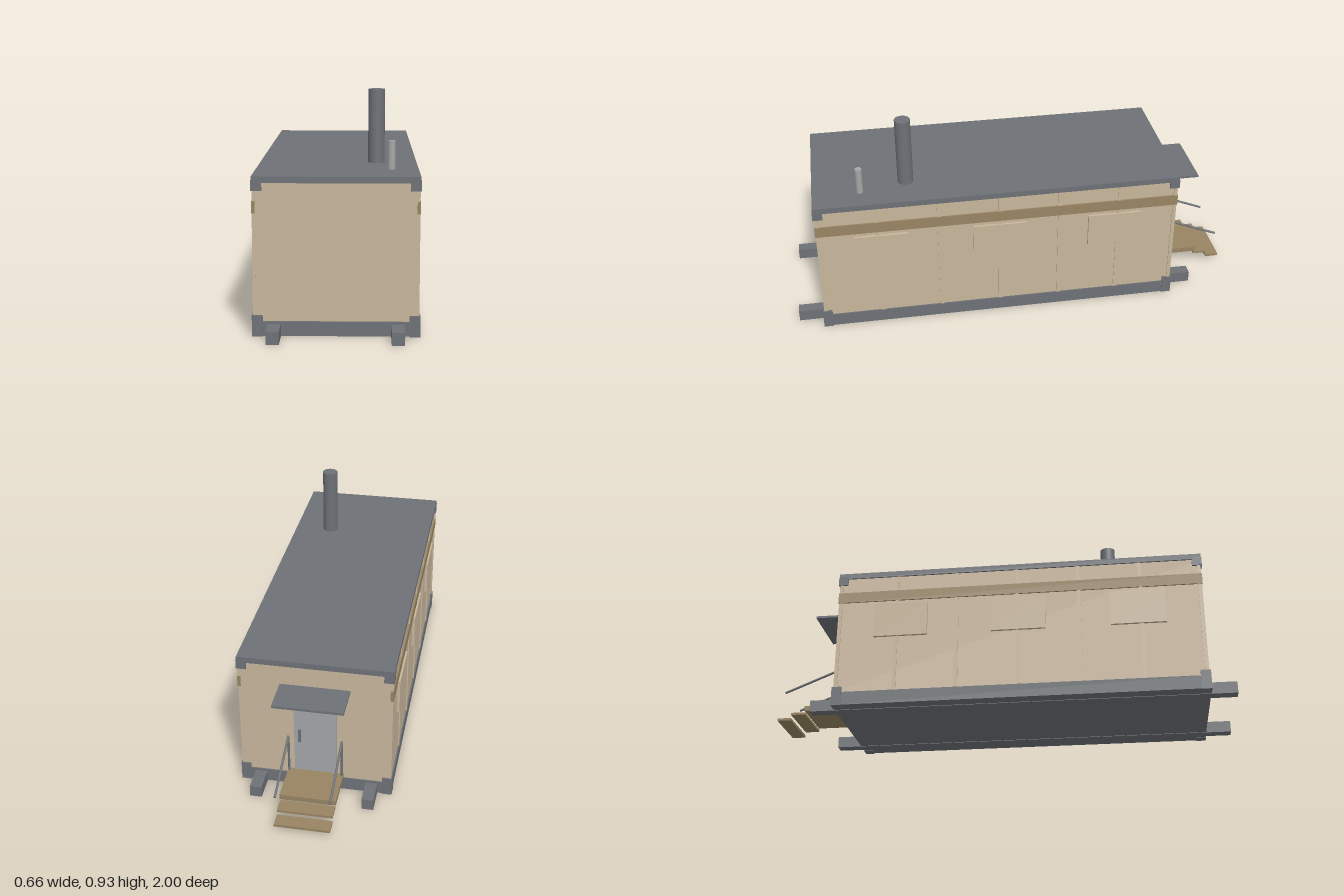
import * as THREE from 'three';

const mat = (name, color) => Object.assign(new THREE.MeshStandardMaterial({ color }), { name });

export function createModel() {
  const root = new THREE.Group();
  root.name = 'siteCabin';
  const wall = mat('beige panel', 0xc8b69c);
  const brown = mat('brown trim', 0x988462);
  const steel = mat('steel grey', 0x6d7176);
  const door = mat('door grey', 0xa3a5a8);
  const pipe = mat('light pipe grey', 0xa6a6a6);

  const add = (name, geo, m, x, y, z) => {
    const mesh = new THREE.Mesh(geo, m);
    mesh.name = name;
    mesh.position.set(x, y, z);
    root.add(mesh);
    return mesh;
  };
  // box given by its min and max on each axis
  const box = (name, m, x0, x1, y0, y1, z0, z1) =>
    add(name, new THREE.BoxGeometry(x1 - x0, y1 - y0, z1 - z0), m,
      (x0 + x1) / 2, (y0 + y1) / 2, (z0 + z1) / 2);
  // thin round bar between two points
  const bar = (name, m, a, b, r) => {
    const d = b.clone().sub(a);
    const mid = a.clone().add(b).multiplyScalar(0.5);
    const mesh = add(name, new THREE.CylinderGeometry(r, r, d.length(), 12), m, mid.x, mid.y, mid.z);
    mesh.quaternion.setFromUnitVectors(new THREE.Vector3(0, 1, 0), d.normalize());
  };

  const zB = -0.7, zF = 0.89;

  // Cabin shell
  box('baseFrame', steel, -0.322, 0.322, 0.002, 0.06, zB, zF);
  box('cabinWalls', wall, -0.316, 0.316, 0.06, 0.6, zB + 0.005, zF - 0.005);
  box('roof', steel, -0.323, 0.323, 0.6, 0.625, zB, zF);

  // Corner castings
  for (const s of [-1, 1]) {
    const x0 = s > 0 ? 0.283 : -0.325, x1 = x0 + 0.042;
    for (const z0 of [zB - 0.002, zF - 0.04]) {
      box('lowerCorner', steel, x0, x1, 0, 0.083, z0, z0 + 0.042);
      box('upperCorner', steel, x0, x1, 0.57, 0.61, z0, z0 + 0.042);
    }
  }

  // Skids under the base
  for (const x of [-0.238, 0.238]) box('skid', steel, x - 0.025, x + 0.025, 0, 0.05, -0.81, 1);

  // Long sides: ribs, trim band and shuttered windows
  for (const s of [-1, 1]) {
    const side = (name, m, d, y0, y1, z0, z1) =>
      box(name, m, Math.min(s * 0.31, s * d), Math.max(s * 0.31, s * d), y0, y1, z0, z1);
    for (let k = 0; k <= 6; k++) {
      const z = THREE.MathUtils.clamp(zB + k * 0.265, zB + 0.012, zF - 0.012);
      side('wallRib', wall, 0.321, 0.06, 0.6, z - 0.008, z + 0.008);
    }
    side('trimBand', brown, 0.3225, 0.482, 0.53, zB + 0.001, zF - 0.001);
    for (const z of [-0.415, 0.098, 0.61]) side('windowShutter', wall, 0.328, 0.31, 0.465, z - 0.117, z + 0.117);
  }

  // Entrance door with handle and canopy
  box('door', door, -0.09, 0.09, 0.075, 0.42, zB - 0.003, zB + 0.006);
  box('doorHandle', steel, 0.061, 0.072, 0.235, 0.295, zB - 0.012, zB);
  box('canopy', steel, -0.146, 0.146, 0.501, 0.511, -0.85, zB + 0.006);

  // Landing and steps
  box('landing', brown, -0.118, 0.118, 0.062, 0.084, -0.88, zB);
  box('middleStep', brown, -0.116, 0.116, 0.045, 0.055, -0.94, -0.877);
  box('lowerStep', brown, -0.116, 0.116, 0.02, 0.031, -1, -0.94);

  // Handrails
  for (const x of [-0.113, 0.113]) {
    const top = new THREE.Vector3(x, 0.26, -0.711);
    bar('railPost', steel, new THREE.Vector3(x, 0.08, -0.711), top, 0.005);
    bar('handrail', steel, top, new THREE.Vector3(x, 0.152, -0.975), 0.005);
  }

  // Chimney and vent pipe
  add('chimney', new THREE.CylinderGeometry(0.034, 0.034, 0.31, 32), steel, 0.157, 0.773, 0.485);
  add('ventPipe', new THREE.CylinderGeometry(0.015, 0.015, 0.12, 24), pipe, 0.215, 0.68, 0.685);

  return root;
}
